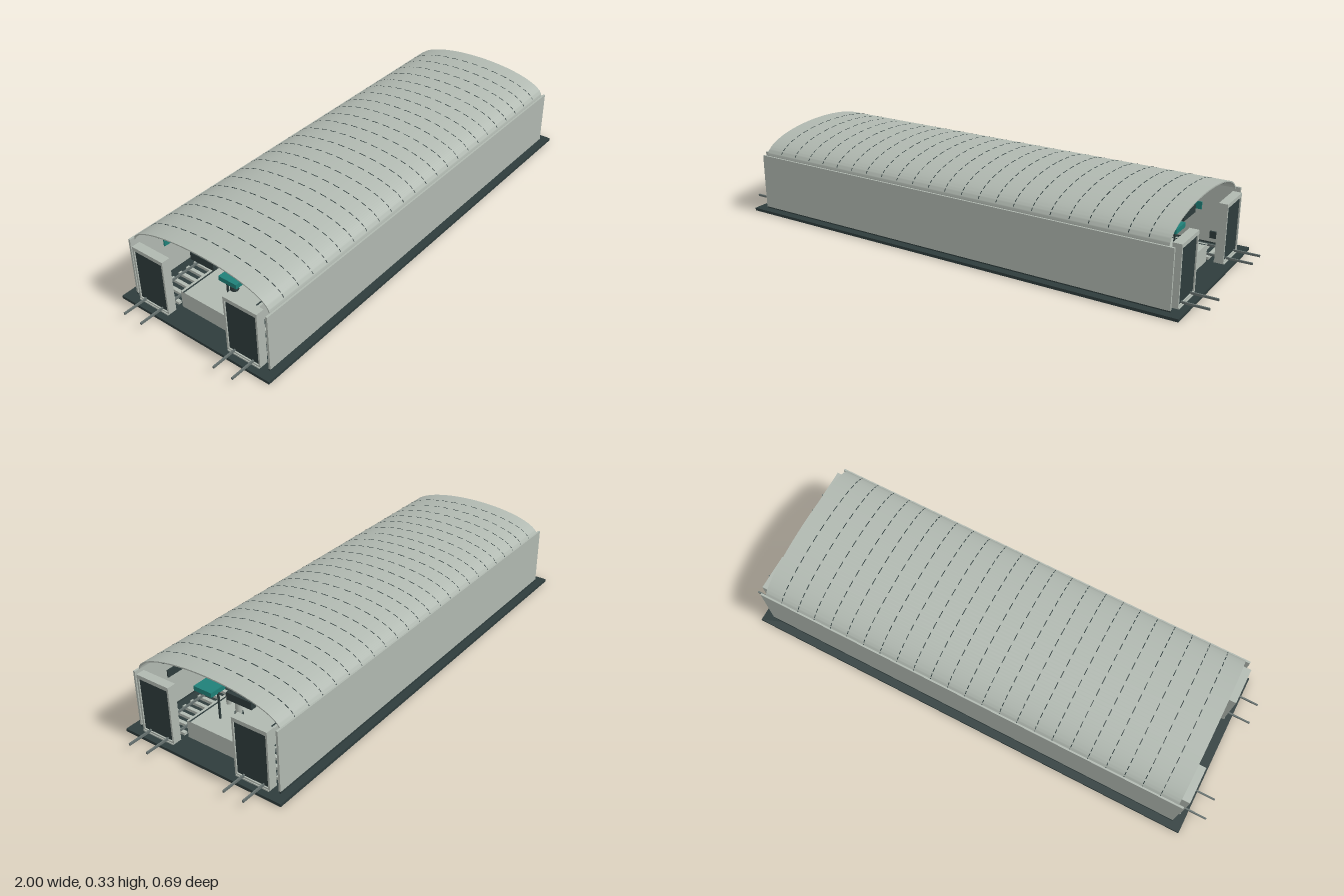
import * as THREE from 'three';
import { toCreasedNormals } from 'three/addons/utils/BufferGeometryUtils.js';

const mat = (name, color) => Object.assign(new THREE.MeshStandardMaterial({ color }), { name });

export function createModel() {
  const root = new THREE.Group();
  root.name = 'railStation';
  const concrete = mat('pale concrete', 0xb0b8b0);
  const dark = mat('dark slate', 0x2e3c3c);
  const steel = mat('rail steel', 0x66716f);
  const teal = mat('teal sign', 0x1f8078);

  const add = (name, geo, material, x = 0, y = 0, z = 0, parent = root) => {
    const m = new THREE.Mesh(geo, material);
    m.name = name;
    m.position.set(x, y, z);
    parent.add(m);
    return m;
  };
  // box given by its limits on each axis
  const box = (name, material, x0, x1, y0, y1, z0, z1, parent = root) =>
    add(name, new THREE.BoxGeometry(x1 - x0, y1 - y0, z1 - z0), material,
      (x0 + x1) / 2, (y0 + y1) / 2, (z0 + z1) / 2, parent);

  // ground slab and side walls
  box('groundSlab', dark, -0.93, 0.93, 0, 0.011, -0.345, 0.345);
  box('frontWall', concrete, -0.89, 0.89, 0.017, 0.238, 0.309, 0.317);
  box('backWall', concrete, -0.89, 0.89, 0.017, 0.252, -0.313, -0.305);
  for (const s of [-1, 1])
    box('wallFooting', dark, -0.89, 0.89, 0.011, 0.018, s * 0.311 - 0.003, s * 0.311 + 0.003);

  // vaulted roof: a thin elliptical band swept along x
  const band = (inner, outer, a0, a1, steps) => {
    const pts = [];
    const point = (a, off) => new THREE.Vector2(Math.cos(a) * (0.31 + off), 0.238 + Math.sin(a) * (0.089 + off));
    for (let i = 0; i <= steps; i++) pts.push(point(a0 + (a1 - a0) * i / steps, outer));
    for (let i = steps; i >= 0; i--) pts.push(point(a0 + (a1 - a0) * i / steps, inner));
    return new THREE.Shape(pts);
  };
  const sweep = (shapes, length) => {
    const g = new THREE.ExtrudeGeometry(shapes, { depth: length, bevelEnabled: false });
    g.translate(0, 0, -length / 2).rotateY(Math.PI / 2);
    return toCreasedNormals(g, 0.5);
  };
  add('roofVault', sweep(band(-0.003, 0, 0, Math.PI, 64), 1.74), concrete);

  // ribs below the skin, with broken seam lines above it
  const ribGeo = sweep(band(-0.005, -0.0025, 0.05, Math.PI - 0.05, 48), 0.006);
  const dashes = [];
  for (let i = 0; i < 18; i++) {
    const a = 0.1 + i * (Math.PI - 0.2) / 18;
    dashes.push(band(-0.001, 0.0006, a, a + 0.1, 3));
  }
  const seamGeo = sweep(dashes, 0.003);
  for (let k = 0; k <= 24; k++) {
    const x = -0.87 + k * 0.0725;
    const end = k === 0 ? 0.003 : k === 24 ? -0.003 : 0;
    add('roofRib', ribGeo, concrete, x + end);
    if (k > 0 && k < 24) add('roofSeam', seamGeo, dark, x);
  }
  for (const z of [-0.18, -0.09, 0.09, 0.19]) {
    const y = 0.238 + 0.089 * Math.sqrt(1 - (z / 0.31) ** 2) - 0.005;
    box('roofPurlin', dark, -0.868, 0.868, y - 0.002, y + 0.002, z - 0.003, z + 0.003);
  }

  // tunnel portals: pale frame around a dark panel, at both ends of both tracks
  const frame = new THREE.Shape([[-0.073, 0.017], [0.073, 0.017], [0.073, 0.243], [-0.073, 0.243]]
    .map(p => new THREE.Vector2(...p)));
  frame.holes.push(new THREE.Path([[-0.066, 0.024], [-0.066, 0.228], [0.066, 0.228], [0.066, 0.024]]
    .map(p => new THREE.Vector2(...p))));
  const frameGeo = new THREE.ExtrudeGeometry(frame, { depth: 0.034, bevelEnabled: false });
  frameGeo.translate(0, 0, -0.017).rotateY(Math.PI / 2);
  for (const sx of [-1, 1]) for (const sz of [-1, 1]) {
    const z = sz > 0 ? 0.213 : -0.208;
    const portal = new THREE.Group();
    portal.name = 'tunnelPortal';
    portal.position.set(sx * 0.887, 0, z);
    root.add(portal);
    add('portalFrame', frameGeo, concrete, 0, 0, 0, portal);
    box('portalPanel', dark, -0.012, 0.012, 0.024, 0.228, -0.066, 0.066, portal);
    box('portalSill', concrete, -0.02, 0.02, 0.013, 0.018, -0.07, 0.07, portal);
  }

  // tracks
  for (const c of [-0.211, 0.211]) {
    for (const d of [-0.041, 0.041])
      box('rail', steel, -1, 1, 0.022, 0.03, c + d - 0.003, c + d + 0.003);
    for (let i = 0; i < 45; i++) {
      const x = -0.836 + i * 0.038;
      box('sleeper', concrete, x - 0.007, x + 0.007, 0.011, 0.022, c - 0.06, c + 0.06);
    }
  }

  // island platform with dark edge lines
  box('platform', concrete, -0.84, 0.84, 0.011, 0.08, -0.135, 0.135);
  for (const s of [-1, 1])
    box('platformEdgeLine', dark, -0.84, 0.84, 0.08, 0.0806, s * 0.122 - 0.003, s * 0.122 + 0.003);

  // columns
  for (let i = 0; i < 7; i++) {
    const x = -0.72 + i * 0.24;
    const column = new THREE.Group();
    column.name = 'column';
    column.position.set(x, 0, 0.005);
    root.add(column);
    add('columnShaft', new THREE.CylinderGeometry(0.012, 0.012, 0.2, 20), concrete, 0, 0.18, 0, column);
    add('columnBase', new THREE.CylinderGeometry(0.016, 0.016, 0.018, 20), dark, 0, 0.089, 0, column);
    add('columnCapital', new THREE.CylinderGeometry(0.018, 0.018, 0.006, 20), concrete, 0, 0.283, 0, column);
  }

  // stairs rising toward the middle, with handrails and a dark headwall
  for (const s of [-1, 1]) {
    const stairs = new THREE.Group();
    stairs.name = 'stairs';
    root.add(stairs);
    for (let i = 0; i < 12; i++) {
      const x = s * (0.44 - i * 0.014);
      box('stairStep', concrete, x - 0.007, x + 0.007, 0.08, 0.088 + i * 0.008, -0.045, 0.053, stairs);
      box('stairNosing', dark, x + s * 0.007 - 0.0005, x + s * 0.007 + 0.0005,
        0.0865 + i * 0.008, 0.088 + i * 0.008, -0.045, 0.053, stairs);
    }
    for (const z of [-0.047, 0.035]) {
      const rail = box('handrail', dark, -0.1, 0.1, -0.003, 0.003, z - 0.002, z + 0.002, stairs);
      rail.position.set(s * 0.363, 0.16, z);
      rail.rotation.z = -s * 0.52;
    }
    box('stairHeadwall', dark, s * 0.27 - 0.01, s * 0.27 + 0.01, 0.167, 0.277, -0.052, 0.06, stairs);
  }

  // hanging signs, bins and benches along the platform
  for (const s of [-1, 1]) for (const d of [0.3, 0.78]) {
    const x = s * d;
    box('tealSign', teal, x - 0.035, x + 0.035, 0.197, 0.215, 0.034, 0.113);
    box('signPost', dark, x - 0.003, x + 0.003, 0.095, 0.2, 0.033, 0.039);
    box('darkSign', dark, x - 0.012, x + 0.012, 0.197, 0.226, -0.12, -0.012);
    for (const z of [-0.108, -0.024])
      box('signHanger', dark, x - 0.001, x + 0.001, 0.226, 0.28, z - 0.001, z + 0.001);
    add('bin', new THREE.CylinderGeometry(0.01, 0.01, 0.036, 16), concrete, s * (d - 0.1), 0.098, 0.087);
    add('binLid', new THREE.CylinderGeometry(0.011, 0.011, 0.005, 16), dark, s * (d - 0.1), 0.118, 0.087);
  }

  // panels on the inner wall faces
  for (let i = 0; i < 6; i++) {
    const x = -0.7 + i * 0.28;
    box('wallPoster', dark, x - 0.05, x + 0.05, 0.14, 0.17, 0.304, 0.309);
    box('wallNamePlate', teal, x - 0.05, x + 0.05, 0.14, 0.17, -0.305, -0.3);
    box('serviceBox', dark, x + 0.09, x + 0.12, 0.035, 0.062, -0.305, -0.297);
  }
  return root;
}
